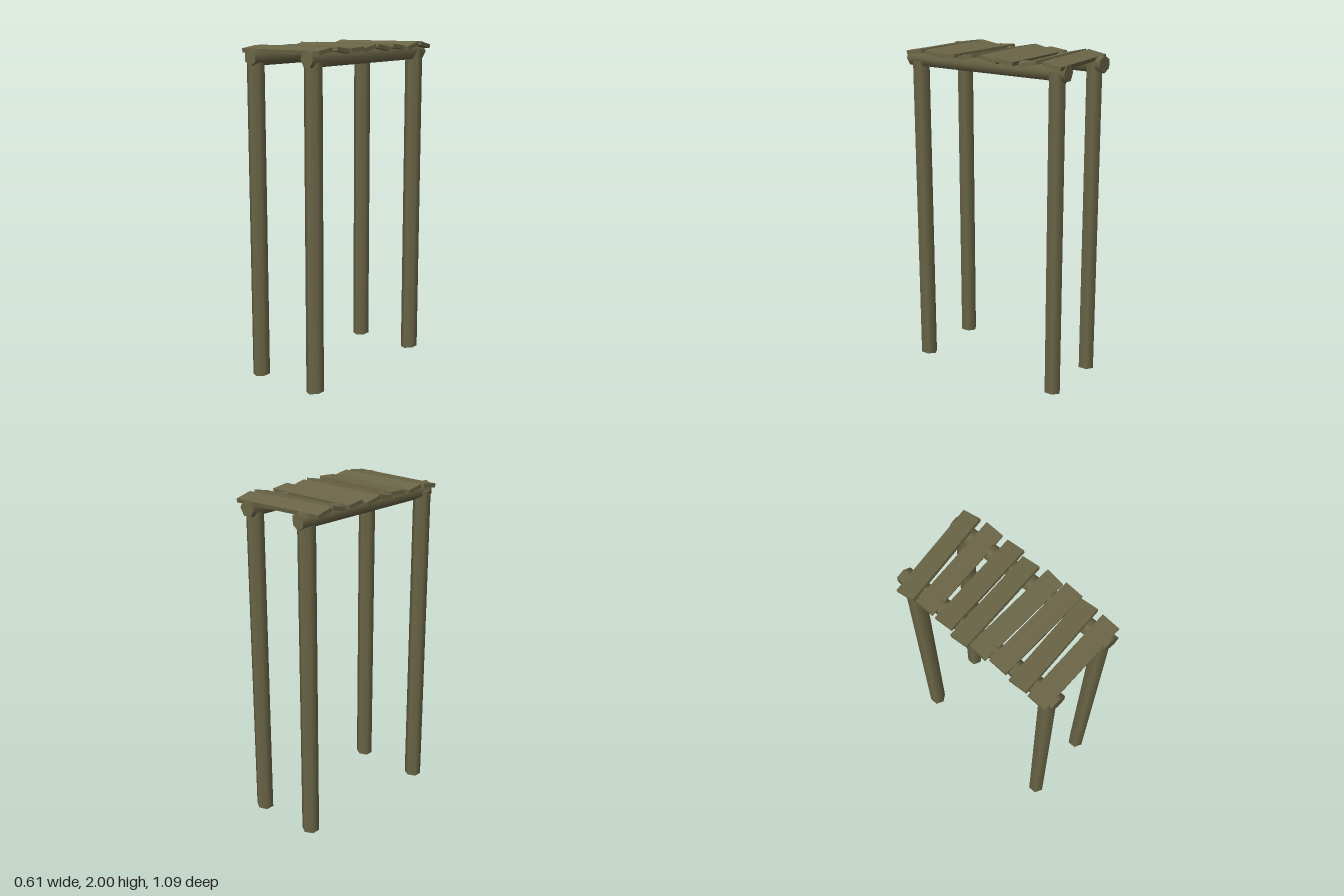
import * as THREE from 'three';

const wood = new THREE.MeshStandardMaterial({ color: 0x6b6647 });
wood.name = 'weatheredWood';

// Six-sided smooth log along y; both end cuts are slanted by a slope in x
function makeLog(name, radius, length, topSlope, bottomSlope, spin = 0) {
  const geo = new THREE.CylinderGeometry(radius, radius, length, 6);
  geo.rotateY(spin);
  const p = geo.attributes.position;
  for (let i = 0; i < p.count; i++) {
    const slope = p.getY(i) > 0 ? topSlope : bottomSlope;
    p.setY(i, p.getY(i) + slope * p.getX(i));
  }
  const mesh = new THREE.Mesh(geo, wood);
  mesh.name = name;
  return mesh;
}

export function createModel() {
  const model = new THREE.Group();
  model.name = 'plankPlatform';

  // Four tall posts: name, x, z
  const posts = [
    ['frontRightPost', -0.226, 0.48],
    ['backRightPost', -0.196, -0.472],
    ['frontLeftPost', 0.206, 0.48],
    ['backLeftPost', 0.206, -0.472],
  ];
  for (const [name, x, z] of posts) {
    const post = makeLog(name, 0.052, 1.93, 0.1, x > 0 ? 0.12 : 0.06);
    post.position.set(x, 0.972, z);
    model.add(post);
  }

  // Two rails running front to back: name, x, y, spin, end slopes
  const rails = [
    ['rightRail', -0.205, 1.93, 0, 0.08, -0.12],
    ['leftRail', 0.204, 1.933, Math.PI / 6, 0.15, 0.05],
  ];
  for (const [name, x, y, spin, front, back] of rails) {
    const rail = makeLog(name, 0.051, 1.075, front, -back, spin);
    rail.geometry.rotateX(Math.PI / 2);
    rail.position.set(x, y, 0);
    rail.rotation.y = x < 0 ? -0.015 : 0.012;
    model.add(rail);
  }

  // Uneven deck planks, back to front: x, z, yaw, pitch
  const planks = [
    [-0.005, -0.457, 0.085, -0.2],
    [0.008, -0.322, 0.047, 0.22],
    [0.008, -0.18, 0.015, -0.13],
    [-0.012, -0.057, 0.015, -0.2],
    [0.003, 0.075, -0.047, 0.2],
    [0.012, 0.2, -0.035, 0.05],
    [0, 0.327, 0.018, -0.16],
    [-0.005, 0.463, -0.012, 0.14],
  ];
  const plankGeo = new THREE.BoxGeometry(0.582, 0.023, 0.113);
  planks.forEach(([x, z, yaw, pitch], i) => {
    const plank = new THREE.Mesh(plankGeo, wood);
    plank.name = `plank${i + 1}`;
    plank.position.set(x, 1.974, z);
    plank.rotation.set(pitch, yaw, 0.008, 'YXZ');
    model.add(plank);
  });

  return model;
}
